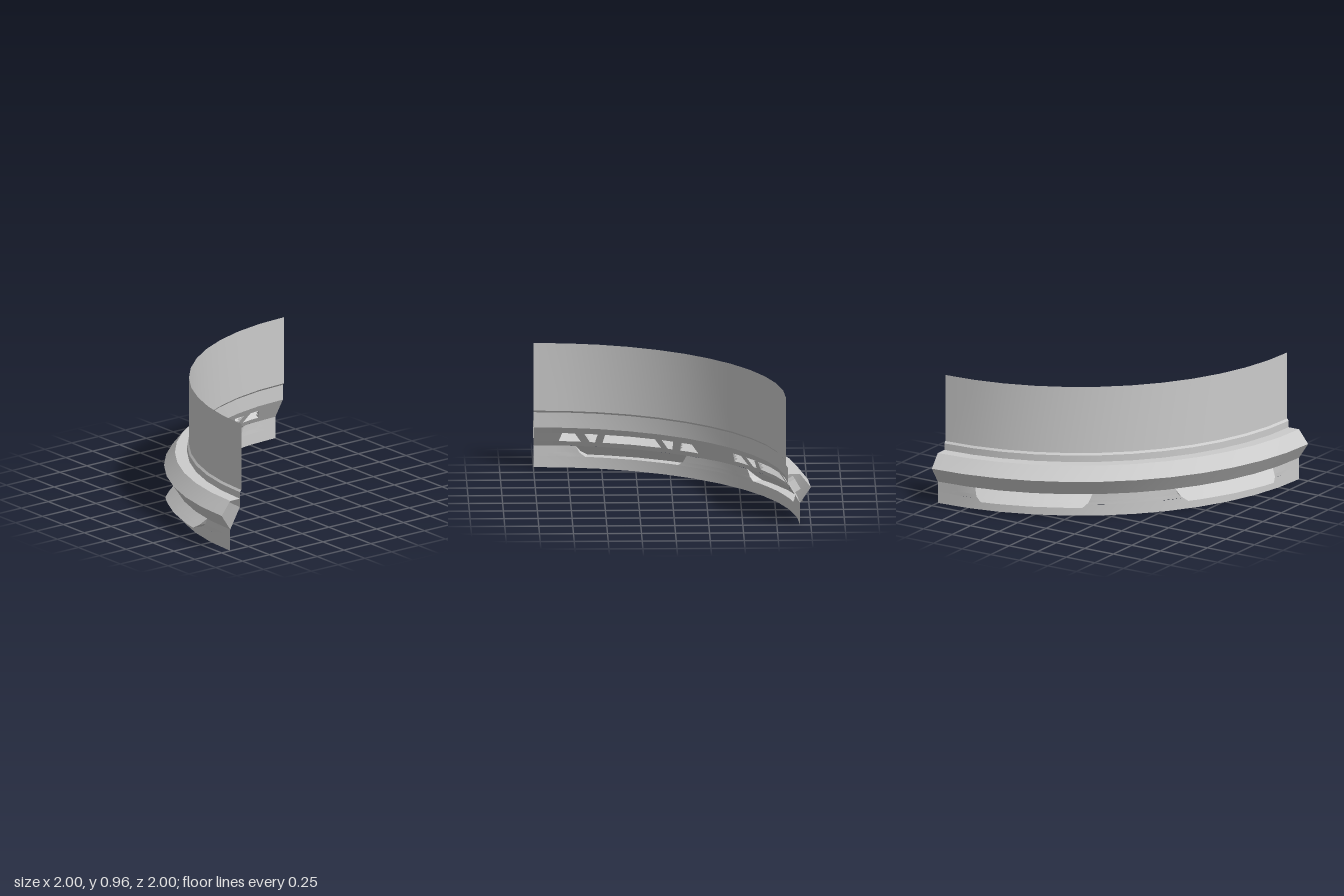
import * as THREE from 'three';
import { mergeGeometries } from 'three/addons/utils/BufferGeometryUtils.js';

const SEG = 7.5; // the quarter ring is a 12-sided arc about (1, 1)
const rad = THREE.MathUtils.degToRad;

// Point at angle a (degrees from the +z end), radius r, height y, on the chord of its segment
function place([a, r, y]) {
  const mid = (Math.min(Math.floor(a / SEG), 11) + 0.5) * SEG;
  const c = r * Math.cos(rad(SEG / 2)) / Math.cos(rad(a - mid));
  return [1 - c * Math.cos(rad(a)), y, 1 - c * Math.sin(rad(a))];
}

const mix = (p, q, t) => p.map((v, i) => v + (q[i] - v) * t);

// Four-cornered patch in (angle, radius, height), cut into n columns
function patch(b0, b1, t0, t1, n = 1) {
  const pos = [], idx = [];
  for (let i = 0; i <= n; i++) {
    pos.push(...place(mix(b0, b1, i / n)), ...place(mix(t0, t1, i / n)));
    if (i < n) {
      const k = i * 2;
      idx.push(k, k + 1, k + 2, k + 2, k + 1, k + 3);
    }
  }
  const g = new THREE.BufferGeometry();
  g.setAttribute('position', new THREE.Float32BufferAttribute(pos, 3));
  g.setIndex(idx);
  g.computeVertexNormals();
  return g;
}

// Full-length strip between two profile points [r, y]
const strip = (p, q) => patch([0, ...p], [90, ...p], [0, ...q], [90, ...q], 12);
const strips = (pts) => pts.slice(1).map((q, i) => strip(pts[i], q));

export function createModel() {
  const group = new THREE.Group();
  const material = new THREE.MeshStandardMaterial({ color: 0xcccccc, side: THREE.DoubleSide });
  const add = (name, parts) => {
    const mesh = new THREE.Mesh(mergeGeometries(parts), material);
    mesh.name = name;
    group.add(mesh);
  };
  const centres = [22.5, 67.5];

  // Upper wall with its small step
  add('upperWall', strips([[1.83, 0.32], [1.83, 0.435], [1.817, 0.45], [1.817, 0.96]]));

  // Hollow pointed rim on the outside
  add('outerRim', strips([[1.92, 0.165], [2, 0.285], [1.92, 0.385], [1.83, 0.385]]));

  // Scoop outline: height, radius of the hood, half width in degrees
  const outline = [[0.085, 2, 11], [0.115, 1.97, 12.3], [0.165, 1.92, 13.2]];
  const wallR = 1.92;
  const wall = [strip([wallR, 0], [wallR, 0.085])];
  const scoops = [];
  for (let i = 0; i < 2; i++) {
    const [y0, r0, w0] = outline[i], [y1, r1, w1] = outline[i + 1];
    // Lower wall beside and between the openings
    const gaps = [[0, 0, centres[0] - w0, centres[0] - w1],
      [centres[0] + w0, centres[0] + w1, centres[1] - w0, centres[1] - w1],
      [centres[1] + w0, centres[1] + w1, 90, 90]];
    for (const [b0, t0, b1, t1] of gaps) {
      wall.push(patch([b0, wallR, y0], [b1, wallR, y0], [t0, wallR, y1], [t1, wallR, y1], 4));
    }
    for (const c of centres) {
      // Sloping hood and its two cheeks
      scoops.push(patch([c - w0, r0, y0], [c + w0, r0, y0], [c - w1, r1, y1], [c + w1, r1, y1], 8));
      for (const s of [-1, 1]) {
        scoops.push(patch([c + s * w0, wallR, y0], [c + s * w0, r0, y0],
          [c + s * w1, wallR, y1], [c + s * w1, r1, y1]));
      }
    }
  }
  // Scoop floors
  for (const c of centres) {
    scoops.push(patch([c - 11, wallR, 0.085], [c + 11, wallR, 0.085],
      [c - 11, 2, 0.085], [c + 11, 2, 0.085], 8));
  }
  add('lowerWall', wall);
  add('scoops', scoops);

  // Sloping inner band with a row of five windows per half
  const bandR = (y) => 1.92 - (y - 0.165) * 0.09 / 0.155;
  const yB = 0.203, yT = 0.273;
  // Window offsets in degrees: bottom start, bottom end, top start, top end
  const half = [[8.7, 9.9, 7.8, 10.9], [11.9, 16.9, 13.05, 16]];
  const row = [...half.map(([a, b, c, d]) => [-b, -a, -d, -c]).reverse(), [-7, 7, -6.1, 6.1], ...half];
  const windows = centres.flatMap((c) => row.map((w) => w.map((v) => v + c)));

  const band = [strip([1.92, 0.165], [bandR(yB), yB]), strip([bandR(yT), yT], [1.83, 0.32])];
  let b = 0, t = 0;
  for (const [b0, b1, t0, t1] of [...windows, [90, 90, 90, 90]]) {
    band.push(patch([b, bandR(yB), yB], [b0, bandR(yB), yB], [t, bandR(yT), yT], [t0, bandR(yT), yT], 2));
    [b, t] = [b1, t1];
  }
  add('innerBand', band);

  // Window reveals and slats, running square to the band into the rim
  const reveals = [], slats = [];
  const inward = ([a, r, y], d) => [a, r + 0.86 * d, y + 0.5 * d];
  const shelf = (p, q, d) => patch(p, q, inward(p, d), inward(q, d), 4);
  for (const [b0, b1, t0, t1] of windows) {
    const at = (a, y) => [a, bandR(y), y];
    const corners = [at(b0, yB), at(b1, yB), at(t1, yT), at(t0, yT)];
    corners.forEach((p, i) => reveals.push(shelf(p, corners[(i + 1) % 4], 0.05)));
    for (const f of [0.36, 0.68]) {
      const p = mix(corners[0], corners[3], f), q = mix(corners[1], corners[2], f);
      slats.push(shelf(inward(p, 0.01), inward(q, 0.01), 0.035));
    }
  }
  add('windowReveals', reveals);
  add('windowSlats', slats);

  return group;
}
